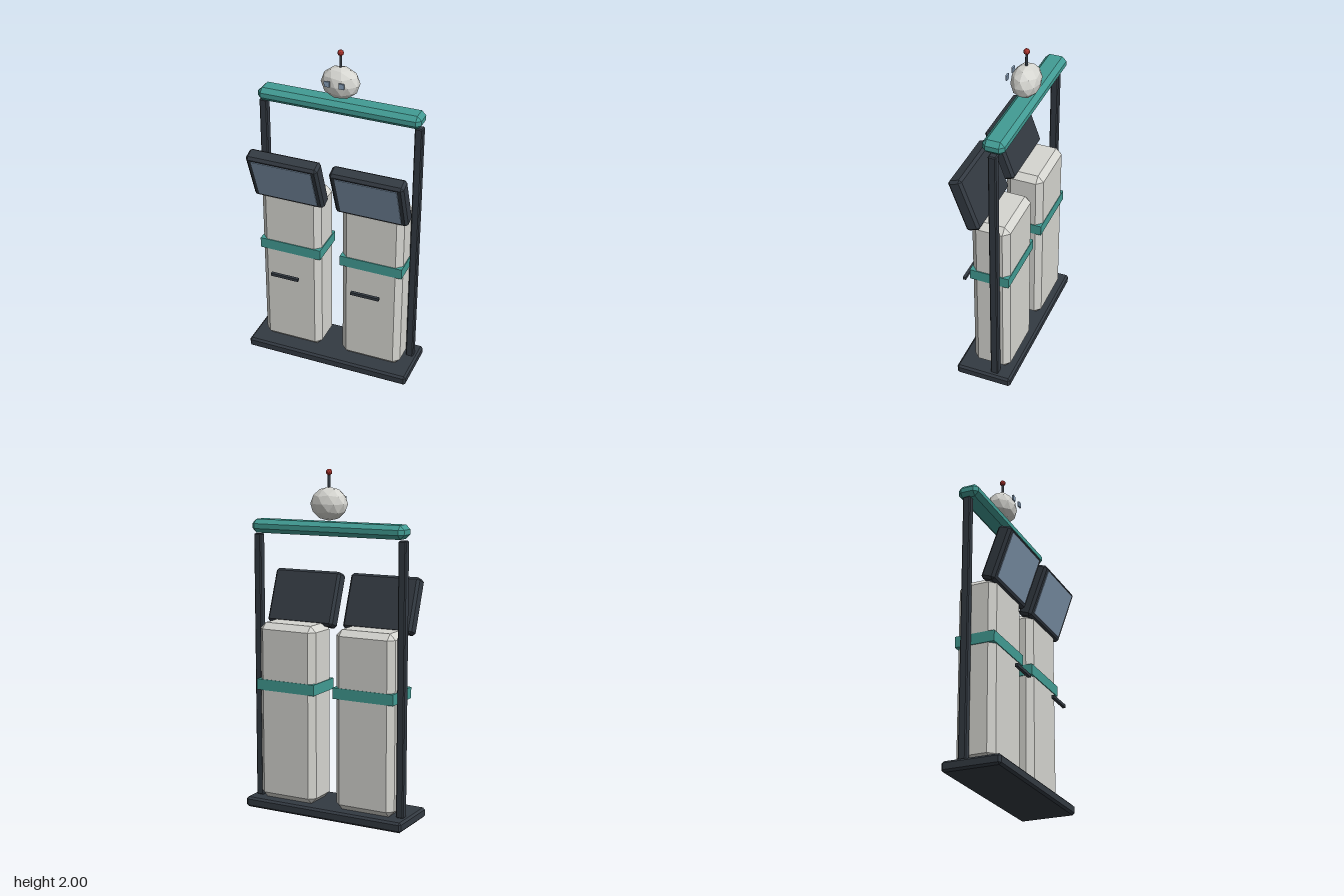
import * as THREE from 'three';
import { ConvexGeometry } from 'three/addons/geometries/ConvexGeometry.js';

const material = (name, color) => {
  const m = new THREE.MeshStandardMaterial({ color });
  m.name = name;
  return m;
};

// Box with every edge cut by a single flat chamfer
function chamferBox(w, h, d, c) {
  const points = [];
  for (const x of [-1, 1]) for (const y of [-1, 1]) for (const z of [-1, 1]) {
    const [X, Y, Z] = [w / 2, h / 2, d / 2];
    points.push(
      new THREE.Vector3(x * X, y * (Y - c), z * (Z - c)),
      new THREE.Vector3(x * (X - c), y * Y, z * (Z - c)),
      new THREE.Vector3(x * (X - c), y * (Y - c), z * Z));
  }
  return new ConvexGeometry(points);
}

// Faceted ball with a vertex at each pole
function facetedBall(rx, ry, rz) {
  const g = new THREE.IcosahedronGeometry(1, 1);
  g.rotateX(-Math.atan((1 + Math.sqrt(5)) / 2));
  g.rotateY(Math.PI / 2);
  g.scale(rx, ry, rz);
  g.computeVertexNormals();
  return g;
}

export function createModel() {
  const model = new THREE.Group();
  model.name = 'kioskStand';

  const shell = material('pale grey shell', 0xd6d6d1);
  const teal = material('teal trim', 0x429c94);
  const dark = material('dark metal', 0x333a42);
  const glass = material('blue glass', 0x8ca4be);
  const red = material('red tip', 0xa8332c);

  const add = (parent, name, geometry, mat, x, y, z) => {
    const mesh = new THREE.Mesh(geometry, mat);
    mesh.name = name;
    mesh.position.set(x, y, z);
    parent.add(mesh);
    return mesh;
  };

  const axisZ = -0.08; // plane of the frame and head

  // Frame: base, two posts and the top beam
  add(model, 'base', chamferBox(1.02, 0.06, 0.337, 0.012), dark, 0, 0.03, -0.0175);
  add(model, 'topBeam', chamferBox(0.966, 0.078, 0.126, 0.025), teal, 0, 1.669, axisZ);

  for (const [side, s] of [['left', 1], ['right', -1]]) {
    add(model, side + 'Post', chamferBox(0.046, 1.565, 0.046, 0.006), dark, s * 0.463, 0.84, axisZ);

    // Cabinet with its band and handle
    const unit = new THREE.Group();
    unit.name = side + 'Unit';
    unit.position.x = s * 0.252;
    model.add(unit);
    add(unit, 'cabinet', chamferBox(0.37, 1.05, 0.226, 0.035), shell, 0, 0.587, -0.038);
    add(unit, 'band', new THREE.BoxGeometry(0.38, 0.064, 0.234), teal, 0, 0.748, -0.037);
    add(unit, 'handle', new THREE.BoxGeometry(0.173, 0.018, 0.018), dark, 0, 0.602, 0.163);

    // Screen leaning out towards the front
    const screen = new THREE.Group();
    screen.name = 'screen';
    screen.position.set(0, 1.238, 0.096);
    screen.rotation.x = 0.35;
    unit.add(screen);
    add(screen, 'screenHousing', chamferBox(0.434, 0.325, 0.085, 0.015), dark, 0, 0, 0);
    add(screen, 'screenGlass', new THREE.BoxGeometry(0.362, 0.27, 0.008), glass, 0, 0.003, 0.0425);

    // Eye
    add(model, side + 'Eye', new THREE.BoxGeometry(0.031, 0.031, 0.01), glass, s * 0.0425, 1.83, 0.013);
  }

  // Head and antenna
  add(model, 'head', facetedBall(0.112, 0.094, 0.082), shell, 0, 1.807, axisZ);
  add(model, 'antenna', new THREE.CylinderGeometry(0.008, 0.008, 0.1, 8), dark, 0, 1.93, axisZ);
  add(model, 'antennaTip', facetedBall(0.018, 0.018, 0.018), red, 0, 1.982, axisZ);

  return model;
}
